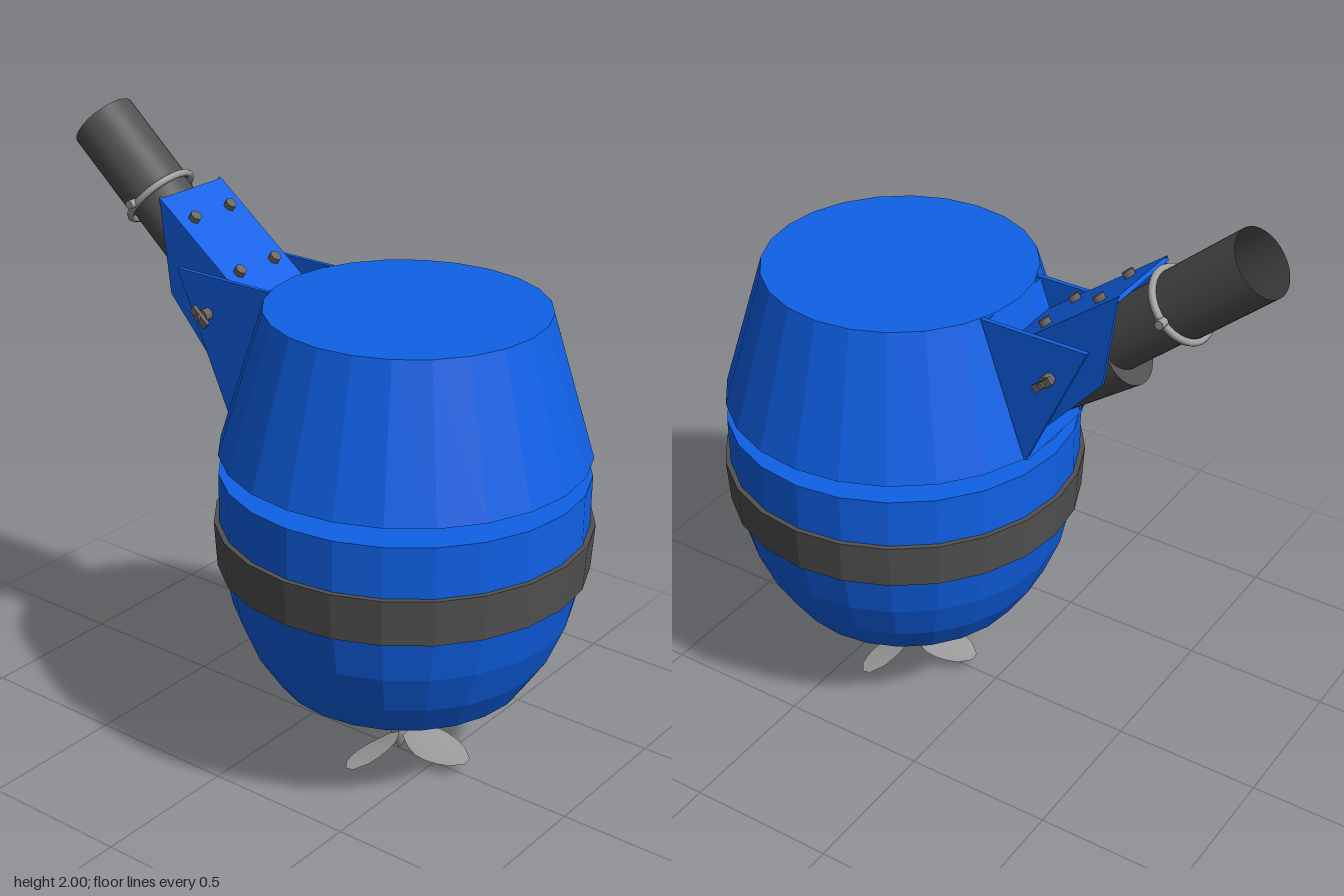
import * as THREE from 'three';

const mat = (name, color, opts = {}) => Object.assign(new THREE.MeshStandardMaterial({ color, ...opts }), { name });

export function createModel() {
  const root = new THREE.Group();
  root.name = 'mountedMotor';
  const blue = mat('blue paint', 0x0f60e6, { flatShading: true });
  const rubber = mat('dark grey band', 0x505050, { flatShading: true, side: THREE.DoubleSide });
  const dark = mat('dark grey tube', 0x505050, { side: THREE.DoubleSide });
  const steel = mat('light steel', 0xa0a0a0, { side: THREE.DoubleSide });
  const bolt = mat('bolt metal', 0x6a665f);

  const add = (name, geo, material, parent = root) => {
    const m = new THREE.Mesh(geo, material);
    m.name = name;
    parent.add(m);
    return m;
  };
  // Centre a mesh between two [z, y] points with its y axis along them
  const between = (m, a, b, x = 0) => {
    m.position.set(x, (a[1] + b[1]) / 2, (a[0] + b[0]) / 2);
    m.rotation.x = Math.atan2(b[0] - a[0], b[1] - a[1]);
    return m;
  };
  const dist = (a, b) => Math.hypot(a[0] - b[0], a[1] - b[1]);
  const rod = (name, a, b, r, material, open = false) =>
    between(add(name, new THREE.CylinderGeometry(r, r, dist(a, b), 32, 1, open), material), a, b);
  const lathe = pts => new THREE.LatheGeometry(pts.map(p => new THREE.Vector2(...p)), 24);
  const cz = 0.36;

  // Barrel-shaped body in two halves with a neck between
  add('upperCowl', lathe([[0, 1.09], [0.58, 1.09], [0.44, 1.55], [0, 1.55]]), blue).position.z = cz;
  add('lowerBody', lathe([[0, 0.32], [0.41, 0.32], [0.485, 0.435], [0.54, 0.57], [0.573, 0.72],
    [0.58, 0.86], [0.58, 1.03], [0, 1.03]]), blue).position.z = cz;
  add('band', lathe([[0.57, 0.715], [0.588, 0.715], [0.597, 0.865], [0.575, 0.865]]), rubber).position.z = cz;
  rod('neck', [cz, 1.02], [cz, 1.1], 0.08, dark);

  // Drive shaft, hub and four pitched blades
  rod('shaft', [cz, 0.06], [cz, 0.33], 0.02, dark);
  const propeller = new THREE.Group();
  propeller.name = 'propeller';
  propeller.position.z = cz;
  root.add(propeller);
  add('hub', new THREE.LatheGeometry([[0, 0], [0.012, 0.02], [0.028, 0.06], [0.028, 0.09], [0.018, 0.105], [0, 0.105]]
    .map(p => new THREE.Vector2(...p)), 16), steel, propeller);
  const widths = [0.03, 0.09, 0.125, 0.13, 0.12, 0.095, 0.03];
  const bladeGeo = new THREE.PlaneGeometry(1, 1, 6, 4);
  const p = bladeGeo.attributes.position;
  for (let i = 0; i < p.count; i++) {
    const t = p.getX(i) + 0.5, s = p.getY(i);
    const w = widths[Math.round(t * 6)] * s;
    const pitch = 0.5 - 0.25 * t;
    p.setXYZ(i, 0.02 + 0.25 * t, 0.074 - 0.02 * t + w * Math.sin(pitch), -w * Math.cos(pitch));
  }
  bladeGeo.computeVertexNormals();
  for (let i = 0; i < 4; i++) add('blade', bladeGeo, steel, propeller).rotation.y = i * Math.PI / 2;

  // Side cheeks of both brackets, cut from [z, y] outlines
  const cheek = (name, pts, x, t) => {
    const shape = new THREE.Shape(pts.map(q => new THREE.Vector2(-q[0], q[1])));
    const geo = new THREE.ExtrudeGeometry(shape, { depth: t, bevelEnabled: false }).rotateY(Math.PI / 2);
    for (const s of [-1, 1]) add(name, geo, blue).position.x = s > 0 ? x - t : -x;
  };
  cheek('bodyBracketSide', [[-0.05, 1.55], [-0.42, 1.55], [-0.215, 1.1]], 0.165, 0.015);
  cheek('tiltBracketSide', [[-0.1, 1.45], [-0.505, 1.76], [-0.465, 1.45], [-0.28, 1.24]], 0.147, 0.012);
  const plate = (name, a, b, w) =>
    between(add(name, new THREE.BoxGeometry(w, dist(a, b), 0.014), blue), a, b);
  plate('bodyBracketBase', [-0.06, 1.543], [-0.215, 1.1], 0.33);
  plate('tiltBracketPlate', [-0.105, 1.445], [-0.505, 1.752], 0.294);

  // Bolts through the tilted plate
  for (const x of [-0.085, 0.085]) {
    for (const [z, y] of [[-0.235, 1.55], [-0.418, 1.69]]) {
      between(add('plateBolt', new THREE.CylinderGeometry(0.02, 0.02, 0.035, 6), bolt),
        [z, y], [z + 0.006, y + 0.008], x);
    }
  }

  // Pivot bolt with a wing nut on each side
  const pivot = add('pivotBolt', new THREE.CylinderGeometry(0.011, 0.011, 0.44, 12), bolt);
  pivot.rotation.z = Math.PI / 2;
  pivot.position.set(0, 1.425, -0.295);
  for (const s of [-1, 1]) {
    const nut = add('wingNutCore', new THREE.CylinderGeometry(0.02, 0.02, 0.03, 12), bolt);
    nut.rotation.z = Math.PI / 2;
    nut.position.set(s * 0.18, 1.425, -0.295);
    const wing = add('wingNut', new THREE.BoxGeometry(0.014, 0.024, 0.075), bolt);
    wing.position.set(s * 0.205, 1.425, -0.295);
    wing.rotation.x = 0.7;
  }

  // Handle: lower housing, hollow tube and sleeve
  rod('handleHousing', [-0.235, 1.32], [-0.47, 1.49], 0.103, dark);
  rod('handleTube', [-0.42, 1.519], [-0.66, 1.728], 0.102, dark, true);
  rod('handleSleeve', [-0.63, 1.702], [-0.876, 1.916], 0.11, dark, true);

  // Clamp ring with side screws
  const ring = add('clampRing', new THREE.TorusGeometry(0.117, 0.012, 8, 32).rotateX(Math.PI / 2), steel);
  between(ring, [-0.63, 1.702], [-0.64, 1.711]);
  for (const s of [-1, 1]) {
    const screw = add('clampScrew', new THREE.CylinderGeometry(0.015, 0.015, 0.03, 8), steel);
    screw.rotation.z = Math.PI / 2;
    screw.position.set(s * 0.13, 1.71, -0.64);
  }
  return root;
}
